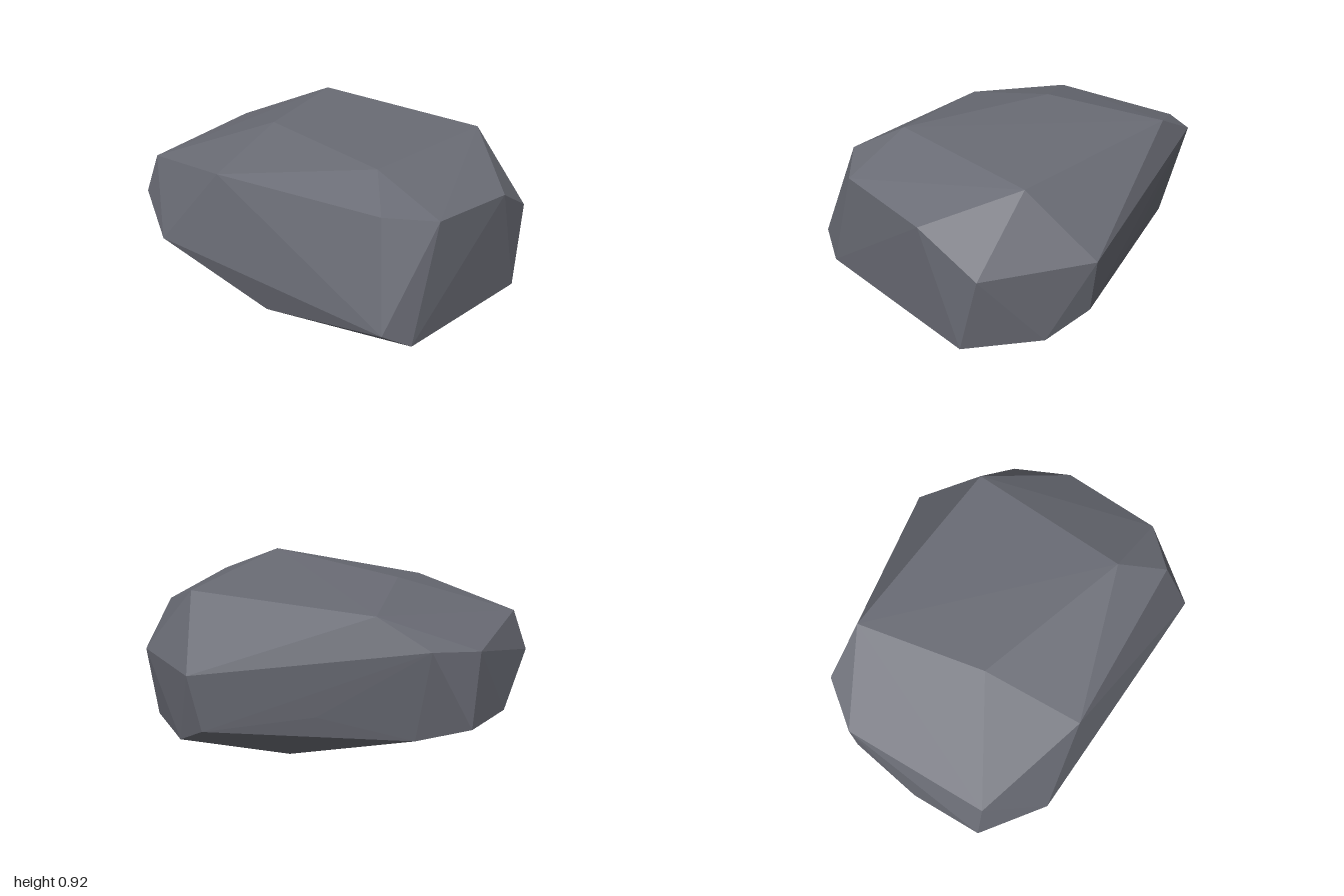
import * as THREE from 'three';
import { ConvexGeometry } from 'three/addons/geometries/ConvexGeometry.js';

// Corners of the boulder, grouped by where they sit
const crown = [
  [-0.28, 0.915, 0.59], [0.6, 0.885, 0.42], [0.39, 0.895, -0.62], [-0.24, 0.9, -0.31],
  [-0.74, 0.785, -0.12], [-0.72, 0.685, -0.77], [0.04, 0.705, -1.0], [0.31, 0.75, -0.89],
];
const shoulder = [
  [-0.45, 0.79, 0.81], [-0.21, 0.75, 0.955], [0.34, 0.7, 0.865], [0.66, 0.51, 0.735],
  [0.88, 0.545, 0.19], [-0.89, 0.34, -0.46], [-0.76, 0.46, -0.84],
];
const base = [
  [-0.57, 0.27, 0.96], [-0.41, 0.17, 0.995], [0.555, 0.075, 0.78], [0.75, 0.09, 0.4],
  [0.81, 0.22, 0.17], [0.53, 0.35, -0.36], [0.25, 0.235, -0.77], [0.07, 0.295, -0.99],
  [-0.35, 0.25, -0.94], [-0.74, 0.315, -0.73], [-0.69, 0.125, 0.21], [0.38, 0, -0.055],
];

export function createModel() {
  const group = new THREE.Group();
  group.name = 'rock';
  const stone = new THREE.MeshStandardMaterial({ color: 0x6a6c75 });
  stone.name = 'slate grey stone';

  // Faceted convex boulder
  const points = [...crown, ...shoulder, ...base].map((p) => new THREE.Vector3(...p));
  const boulder = new THREE.Mesh(new ConvexGeometry(points), stone);
  boulder.name = 'boulder';
  group.add(boulder);
  return group;
}
